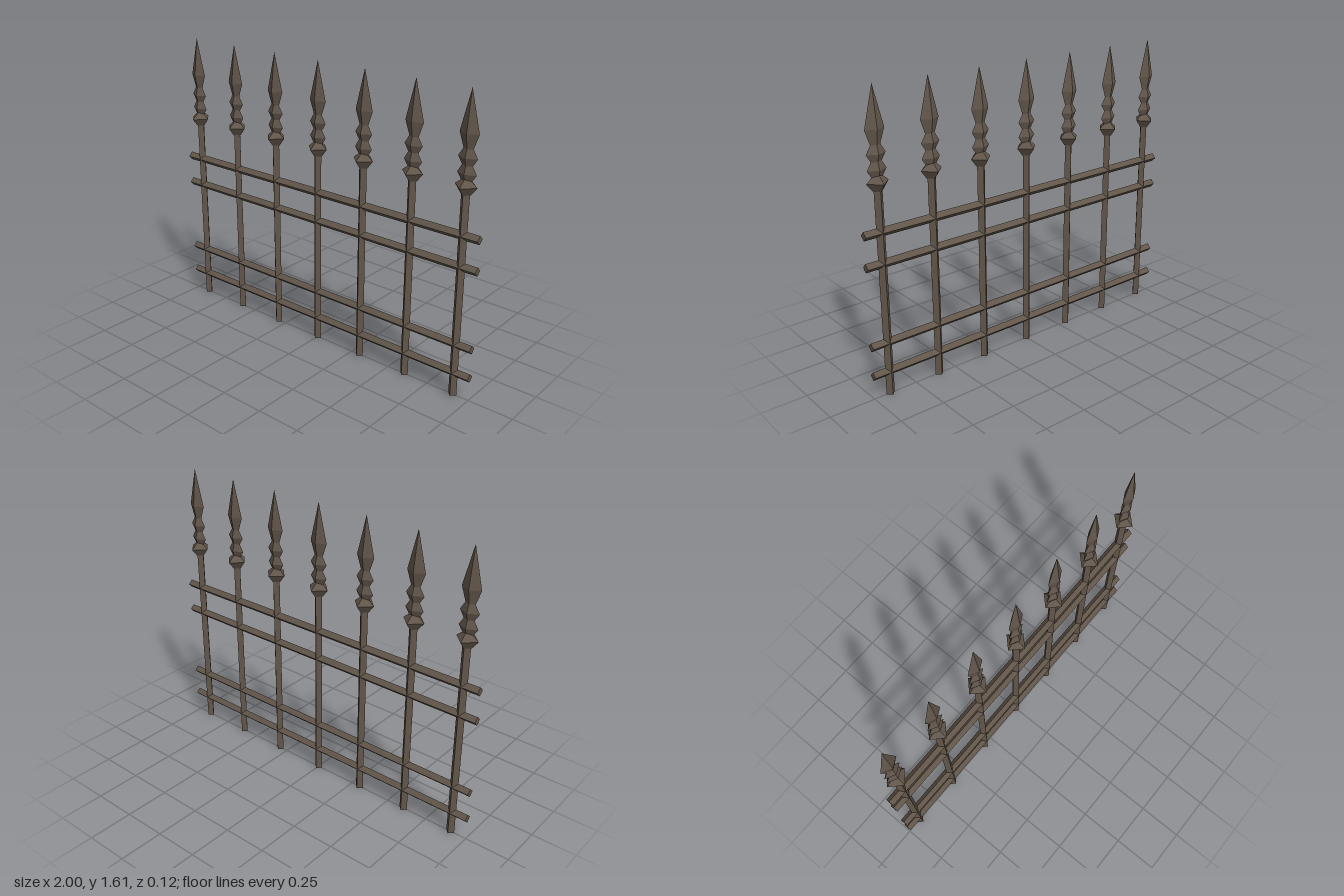
import * as THREE from 'three';

const iron = new THREE.MeshStandardMaterial({ color: 0x62564a });
iron.name = 'dark iron';

// Faceted mesh: every face gets its own flat normals
function part(name, geometry) {
  const flat = geometry.toNonIndexed();
  flat.computeVertexNormals();
  const mesh = new THREE.Mesh(flat, iron);
  mesh.name = name;
  return mesh;
}

// Four-sided bar with its corners on the axes
const bar = (length) => new THREE.CylinderGeometry(0.024, 0.024, length, 4);

// Four-sided turned shape from [halfWidth, height] pairs, squashed in z
function turned(profile, depth) {
  const points = profile.map(([r, y]) => new THREE.Vector2(r, y));
  return new THREE.LatheGeometry(points, 4).scale(1, 1, depth);
}

export function createModel() {
  const fence = new THREE.Group();
  fence.name = 'fence';

  // Horizontal rails
  for (const y of [0.13, 0.724, 0.294, 0.889]) {
    const rail = part('rail', bar(2).rotateZ(Math.PI / 2));
    rail.position.y = y;
    fence.add(rail);
  }

  // Upright pickets, each with a collar and a flattened spearhead
  for (let i = -3; i <= 3; i++) {
    const picket = new THREE.Group();
    picket.name = 'picket';
    picket.position.x = i * 0.302;

    const post = part('post', bar(1.12));
    post.position.y = 0.56;

    const collar = part('collar', turned(
      [[0, 1.1], [0.028, 1.1], [0.061, 1.143], [0.026, 1.172], [0, 1.19]], 1));

    const spear = part('spearhead', turned([
      [0.028, 1.165], [0.053, 1.203], [0.029, 1.243], [0.053, 1.282],
      [0.027, 1.325], [0.053, 1.4], [0, 1.613],
    ], 0.53));

    picket.add(post, collar, spear);
    fence.add(picket);
  }
  return fence;
}
